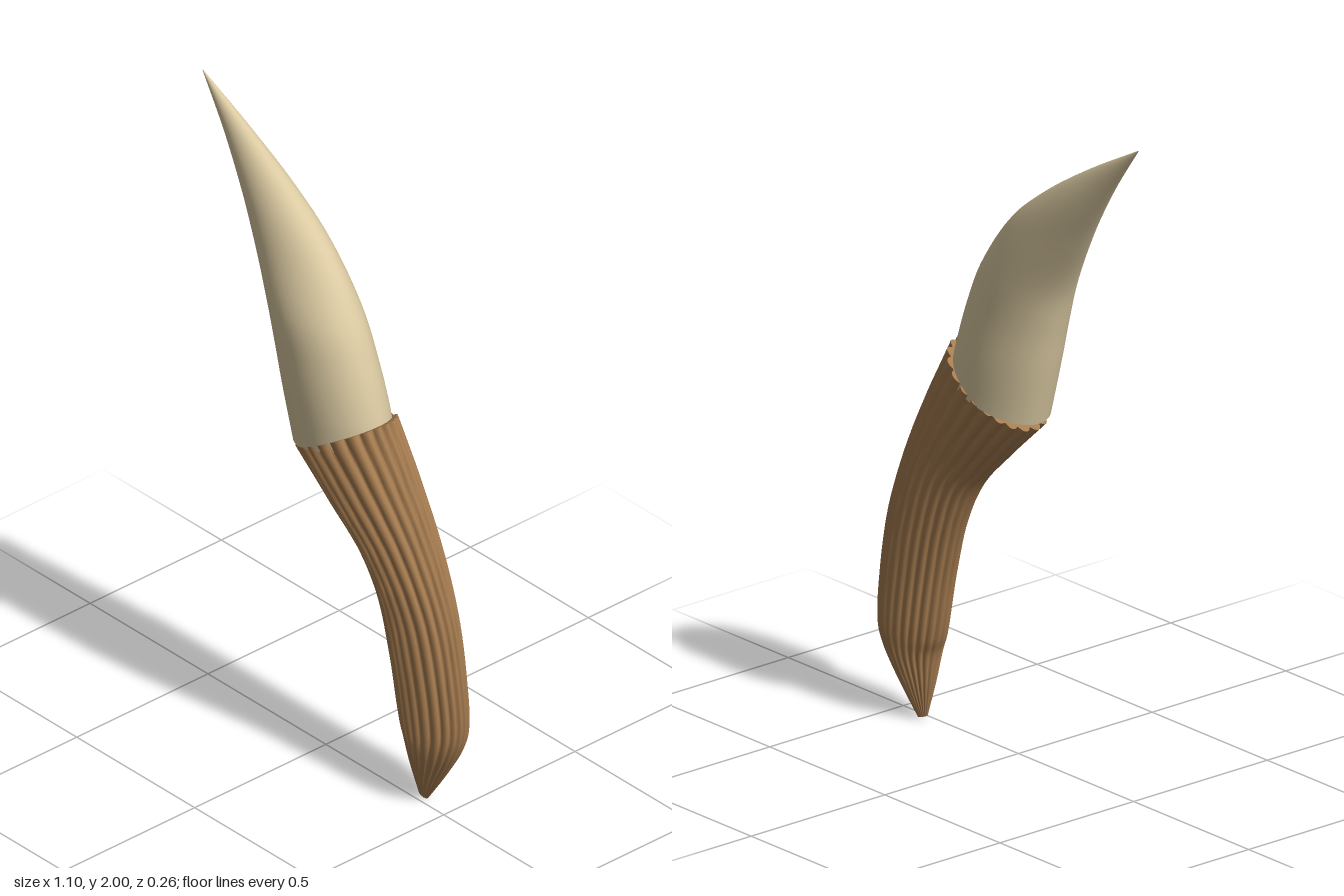
import * as THREE from 'three';

// Each section: left x, left y, right x, right y, back z, front z
const CROWN = [
  [-0.088, 1.03, 0.245, 1.13, -0.12, 0.125],
  [-0.13, 1.2, 0.232, 1.2, -0.118, 0.13],
  [-0.16, 1.33, 0.19, 1.34, -0.11, 0.13],
  [-0.2, 1.46, 0.13, 1.475, -0.104, 0.122],
  [-0.3, 1.64, 0, 1.645, -0.088, 0.078],
  [-0.37, 1.75, -0.15, 1.765, -0.073, 0.045],
  [-0.45, 1.865, -0.34, 1.885, -0.051, 0.01],
  [-0.551, 1.999, -0.549, 2.0, -0.026, -0.024],
];
const ROOT = [
  [0.37, 0.015, 0.405, 0.003, -0.034, -0.014],
  [0.348, 0.12, 0.47, 0.1, -0.068, 0.022],
  [0.33, 0.215, 0.53, 0.205, -0.096, 0.05],
  [0.31, 0.265, 0.55, 0.275, -0.107, 0.056],
  [0.27, 0.47, 0.543, 0.43, -0.11, 0.062],
  [0.222, 0.64, 0.505, 0.63, -0.114, 0.066],
  [0.165, 0.76, 0.43, 0.84, -0.12, 0.085],
  [0.06, 0.875, 0.345, 1.03, -0.124, 0.112],
  [-0.075, 1.005, 0.258, 1.2, -0.126, 0.131],
];

// Skins a tube through the sections; ridge(angle, t) scales the radius
function loft(sections, rows, cols, ridge) {
  const left = new THREE.CatmullRomCurve3(sections.map(s => new THREE.Vector3(s[0], s[1], s[4])));
  const right = new THREE.CatmullRomCurve3(sections.map(s => new THREE.Vector3(s[2], s[3], s[5])));
  const pos = [], index = [];
  const ring = t => {
    const a = left.getPoint(t), b = right.getPoint(t);
    const c = a.clone().add(b).multiplyScalar(0.5);
    const h = b.clone().sub(a).multiplyScalar(0.5);
    for (let i = 0; i < cols; i++) {
      const ang = (i / cols) * Math.PI * 2, r = ridge(ang, t);
      const u = Math.cos(ang) * r, w = Math.sin(ang) * r;
      pos.push(c.x + h.x * u, c.y + h.y * u, c.z + h.z * w);
    }
    return c;
  };
  for (let j = 0; j <= rows; j++) ring(j / rows);
  for (let j = 0; j < rows; j++) {
    for (let i = 0; i < cols; i++) {
      const a = j * cols + i, b = j * cols + (i + 1) % cols;
      index.push(a, a + cols, b, b, a + cols, b + cols);
    }
  }
  // End caps with their own vertices so the rims stay sharp
  for (const t of [0, 1]) {
    const start = pos.length / 3, c = ring(t);
    pos.push(c.x, c.y, c.z);
    for (let i = 0; i < cols; i++) {
      const a = start + i, b = start + (i + 1) % cols;
      index.push(start + cols, ...(t ? [b, a] : [a, b]));
    }
  }
  const g = new THREE.BufferGeometry();
  g.setAttribute('position', new THREE.Float32BufferAttribute(pos, 3));
  g.setIndex(index);
  g.computeVertexNormals();
  return g;
}

export function createModel() {
  const ivory = new THREE.MeshStandardMaterial({ color: 0xdac9a1 });
  ivory.name = 'ivory';
  const brown = new THREE.MeshStandardMaterial({ color: 0xa67c50 });
  brown.name = 'rootBrown';

  const group = new THREE.Group();
  group.name = 'tooth';

  // Smooth curved crown
  const crown = new THREE.Mesh(loft(CROWN, 42, 48, () => 1), ivory);
  crown.name = 'crown';

  // Root with rounded ridges, narrow grooves and a slight twist
  const fluted = (ang, t) => {
    const wave = Math.abs(Math.sin(ang * 11 + 1.2 * Math.sin(t * 4) + 0.5 * Math.sin(ang * 3)));
    return 1 - 0.11 * (1 - Math.pow(wave, 0.7));
  };
  const root = new THREE.Mesh(loft(ROOT, 48, 176, fluted), brown);
  root.name = 'root';

  group.add(crown, root);
  return group;
}
